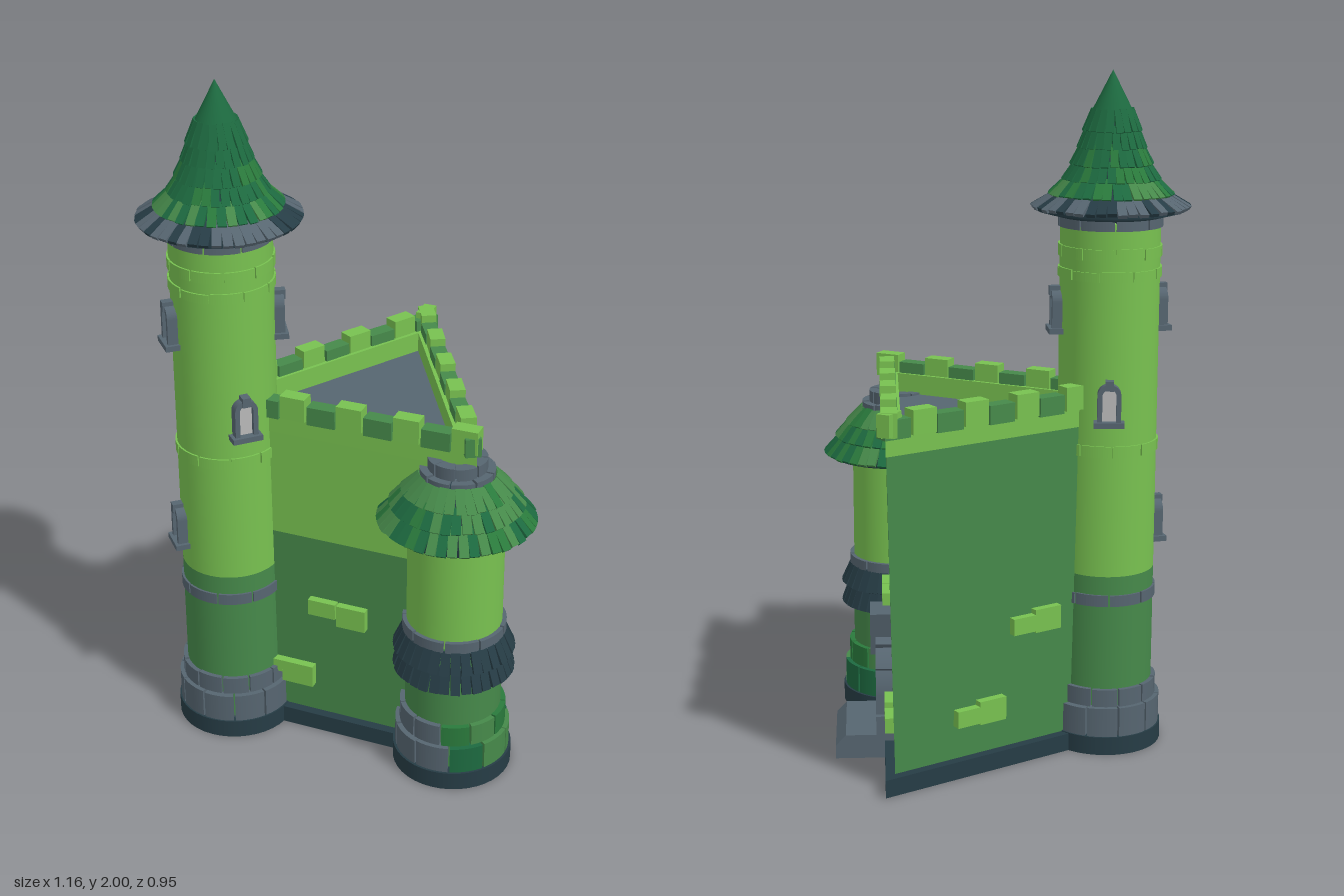
import * as THREE from 'three';
import { mergeGeometries } from 'three/addons/utils/BufferGeometryUtils.js';

const paint = (name, color) => Object.assign(new THREE.MeshStandardMaterial({ color }), { name });

export function createModel() {
  const light = paint('light green', 0x78c150), mid = paint('mid green', 0x46894a);
  const deep = paint('deep green', 0x1d6a40), pine = paint('pine green', 0x2a7a3c);
  const slate = paint('slate grey', 0x566570), dark = paint('dark slate', 0x263c45);
  const pane = paint('window grey', 0xb9b9b9);

  let seed = 7;
  const rnd = () => (seed = (seed * 16807) % 2147483647) / 2147483647;
  const pick = (...list) => list[Math.floor(rnd() * list.length)];

  const group = (name, parent, x = 0, y = 0, z = 0, turn = 0) => {
    const g = new THREE.Group();
    g.name = name;
    g.position.set(x, y, z);
    g.rotation.y = turn;
    if (parent) parent.add(g);
    return g;
  };
  const mesh = (name, parent, geo, mat, x = 0, y = 0, z = 0) => {
    const m = new THREE.Mesh(geo, mat);
    m.name = name;
    m.position.set(x, y, z);
    parent.add(m);
    return m;
  };
  const box = (name, parent, w, h, d, mat, x, y, z) =>
    mesh(name, parent, new THREE.BoxGeometry(w, h, d), mat, x, y, z);
  const drum = (name, parent, rt, rb, y0, y1, mat) =>
    mesh(name, parent, new THREE.CylinderGeometry(rt, rb, y1 - y0, 40), mat, 0, (y0 + y1) / 2, 0);

  // Collects many small pieces into one mesh per colour
  const pieces = (name, parent, list) => {
    const byMat = new Map();
    for (const [geo, mat] of list) {
      if (!byMat.has(mat)) byMat.set(mat, []);
      byMat.get(mat).push(geo.index ? geo.toNonIndexed() : geo);
    }
    for (const [mat, geos] of byMat) mesh(name, parent, mergeGeometries(geos), mat);
  };

  // Ring of curved blocks with narrow joints
  const stoneRing = (name, parent, r0, r1, y0, y1, n, matOf, shift = 0) => {
    const list = [];
    for (let i = 0; i < n; i++) {
      const a = ((i + shift) / n) * Math.PI * 2, b = a + (Math.PI * 2) / n - 0.006 / r1;
      const s = new THREE.Shape();
      s.absarc(0, 0, r1, a, b, false);
      s.absarc(0, 0, r0, b, a, true);
      const g = new THREE.ExtrudeGeometry(s, { depth: y1 - y0 - rnd() * 0.004, bevelEnabled: false, curveSegments: 6 });
      g.rotateX(-Math.PI / 2).translate(0, y0, 0);
      list.push([g, matOf((a + b) / 2)]);
    }
    pieces(name, parent, list);
  };

  // Ring of sloping shingles from (r0, y0) at the eave to (r1, y1)
  const shingles = (name, parent, r0, y0, r1, y1, n, matOf) => {
    const list = [], slope = Math.atan2(y0 - y1, r0 - r1);
    for (let i = 0; i < n; i++) {
      const len = Math.hypot(r0 - r1, y1 - y0) * (0.96 + rnd() * 0.08);
      const g = new THREE.BoxGeometry(((Math.PI * 2 * r0) / n) * 0.84, 0.011, len);
      g.rotateX(-slope).translate(0, (y0 + y1) / 2 + rnd() * 0.003, (r0 + r1) / 2);
      g.rotateY(((i + rnd() * 0.15) / n) * Math.PI * 2);
      list.push([g, matOf()]);
    }
    pieces(name, parent, list);
  };
  const lathe = (name, parent, pts, mat) =>
    mesh(name, parent, new THREE.LatheGeometry(pts.map(p => new THREE.Vector2(...p)), 40), mat);

  // Arch outline used by door and windows
  const arch = (C, w, h) => {
    const s = new C();
    s.moveTo(-w, 0);
    s.lineTo(w, 0);
    s.lineTo(w, h);
    s.absarc(0, h, w, 0, Math.PI, false);
    s.closePath();
    return s;
  };

  const model = group('castle');

  // ---- Triangular keep ----
  const keep = group('keep', model, 0, 0, 0.025);
  const tri = (rt, rb, y0, y1, mats, name) => {
    const g = new THREE.CylinderGeometry(rt, rb, y1 - y0, 3, 1, false, Math.PI).toNonIndexed();
    g.computeVertexNormals();
    g.clearGroups();
    mats.forEach((m, i) => g.addGroup(i * 6, 6, i));
    g.addGroup(18, 18, mats.length - 1);
    return mesh(name, keep, g, mats, 0, (y0 + y1) / 2, 0);
  };
  tri(0.5, 0.5, 0, 0.053, [dark, dark, dark], 'keepPlinth');
  tri(0.468, 0.445, 0.05, 0.66, [mid, mid, mid], 'lowerWalls');
  tri(0.479, 0.468, 0.66, 0.99, [mid, light, mid], 'upperWalls');
  tri(0.48, 0.479, 0.99, 1.0, [slate, slate, slate], 'roofFloor');

  const triangle = (C, r) => new C([0, 1, 2].map(k =>
    new THREE.Vector2(r * Math.sin(Math.PI + k * Math.PI * 2 / 3), -r * Math.cos(Math.PI + k * Math.PI * 2 / 3))));
  const rim = (r0, r1, y0, y1) => {
    const s = triangle(THREE.Shape, r1);
    s.holes.push(triangle(THREE.Path, r0));
    const g = new THREE.ExtrudeGeometry(s, { depth: y1 - y0, bevelEnabled: false });
    mesh('parapet', keep, g.rotateX(-Math.PI / 2).translate(0, y0, 0), light);
  };
  rim(0.395, 0.482, 0.99, 1.06);

  // Loose bricks per wall: [x, y, width, height]
  const bricks = [
    [[-0.047, 0.435, 0.086, 0.05], [0.045, 0.423, 0.09, 0.07], [-0.13, 0.185, 0.1, 0.07], [-0.205, 0.2, 0.05, 0.04]],
    [[-0.147, 0.437, 0.085, 0.045], [-0.06, 0.423, 0.095, 0.07], [0.223, 0.187, 0.085, 0.07], [0.308, 0.183, 0.08, 0.045]],
    [[0.04, 0.425, 0.08, 0.05], [0.12, 0.43, 0.09, 0.07], [-0.15, 0.18, 0.08, 0.05], [-0.07, 0.185, 0.09, 0.07]],
  ];
  const walls = ['frontWall', 'rightWall', 'leftWall'].map((n, k) => group(n, keep, 0, 0, 0, k * Math.PI * 2 / 3));
  walls.forEach((wall, k) => {
    for (const [x, y, w, h] of bricks[k]) box('brick', wall, w, h, 0.03, light, x, y, 0.233 + y * 0.012);
    // Alternating tall and low battlements
    for (let i = 0; i < 10; i++) {
      const x = -0.385 + i * 0.0855, tall = i % 2 === 1;
      const b = box('battlement', wall, tall ? 0.076 : 0.084, tall ? 0.07 : 0.055, 0.045,
        tall ? light : mid, x, tall ? 1.079 : 1.066, tall ? 0.231 : 0.229);
      b.rotation.y = (rnd() - 0.5) * 0.06;
    }
  });
  // Pointed merlon on the back corner
  box('cornerMerlon', keep, 0.04, 0.065, 0.07, light, 0, 1.08, -0.462);

  // ---- Door on the right wall ----
  const door = group('door', walls[1], 0.01, 0, 0);
  mesh('doorPanel', door, new THREE.ExtrudeGeometry(arch(THREE.Shape, 0.1, 0.2), { depth: 0.03, bevelEnabled: false }), dark, 0, 0, 0.215);
  const surround = [];
  for (const s of [-1, 1]) for (const [y, h, w] of [[0.1, 0.066, 0.058], [0.168, 0.062, 0.05]])
    surround.push([new THREE.BoxGeometry(w, h, 0.06).translate(s * (0.087 + w / 2), y, 0.245), slate]);
  for (let i = 0; i < 6; i++) {
    const a = (i / 6) * Math.PI + 0.02, b = ((i + 1) / 6) * Math.PI - 0.02, s = new THREE.Shape();
    s.absarc(0, 0.2, i % 2 ? 0.142 : 0.15, a, b, false);
    s.absarc(0, 0.2, 0.09, b, a, true);
    surround.push([new THREE.ExtrudeGeometry(s, { depth: 0.06, bevelEnabled: false }).translate(0, 0, 0.215), slate]);
  }
  const key = new THREE.Shape([[-0.03, 0.285], [0.03, 0.285], [0.06, 0.42], [-0.06, 0.42]].map(p => new THREE.Vector2(...p)));
  surround.push([new THREE.ExtrudeGeometry(key, { depth: 0.075, bevelEnabled: false }).translate(0, 0, 0.215), slate]);
  pieces('doorSurround', door, surround);
  // Step slab with a sloping front
  const stepSide = new THREE.Shape([[0.2, 0], [0.395, 0], [0.395, 0.04], [0.365, 0.072], [0.2, 0.072]].map(p => new THREE.Vector2(...p)));
  const stepGeo = new THREE.ExtrudeGeometry(stepSide, { depth: 0.27, bevelEnabled: false });
  mesh('doorStep', door, stepGeo.rotateY(-Math.PI / 2).translate(0.135, 0, 0), slate);

  // ---- Tall tower ----
  const tall = group('tallTower', model, -0.35, 0, 0.245);
  drum('towerPlinth', tall, 0.175, 0.175, 0, 0.055, dark);
  stoneRing('baseStones', tall, 0.12, 0.17, 0.055, 0.145, 11, () => slate);
  stoneRing('baseStones', tall, 0.12, 0.158, 0.145, 0.2, 12, () => slate, 0.4);
  drum('lowerShaft', tall, 0.145, 0.145, 0.05, 0.545, mid);
  drum('upperShaft', tall, 0.145, 0.145, 0.545, 1.58, light);
  stoneRing('stoneBand', tall, 0.13, 0.151, 0.455, 0.49, 9, () => slate);
  stoneRing('stoneBand', tall, 0.13, 0.151, 1.56, 1.595, 9, () => slate);
  for (const [y0, y1] of [[0.905, 0.94], [1.415, 1.445], [1.475, 1.51]])
    stoneRing('brickBand', tall, 0.13, 0.15, y0, y1, 10, () => light, y0 * 7);

  lathe('roofCore', tall, [[0.14, 1.585], [0.215, 1.605], [0.145, 1.655], [0.105, 1.72], [0.075, 1.8], [0.05, 1.9], [0, 1.995]], dark);
  shingles('eaveShingles', tall, 0.228, 1.613, 0.145, 1.662, 46, () => pick(slate, slate, dark));
  shingles('roofShingles', tall, 0.178, 1.648, 0.125, 1.698, 38, () => pick(mid, mid, pine, deep));
  shingles('roofShingles', tall, 0.138, 1.69, 0.1, 1.745, 32, () => pick(pine, deep, deep));
  shingles('roofShingles', tall, 0.116, 1.733, 0.083, 1.795, 28, () => pick(pine, deep, deep));
  shingles('roofShingles', tall, 0.095, 1.78, 0.068, 1.845, 24, () => deep);
  shingles('roofShingles', tall, 0.081, 1.828, 0.055, 1.89, 20, () => deep);
  drum('spire', tall, 0, 0.064, 1.875, 2.0, deep);

  // Arched windows: [height, angle in degrees]
  for (const [y, deg] of [[1.25, -47], [1.25, 122], [0.61, -47], [1.0, 46], [1.0, 205]]) {
    const w = group('window', tall, 0, y, 0, deg * Math.PI / 180);
    const s = arch(THREE.Shape, 0.034, 0.08);
    s.holes.push(arch(THREE.Path, 0.02, 0.08));
    mesh('windowFrame', w, new THREE.ExtrudeGeometry(s, { depth: 0.04, bevelEnabled: false }), slate, 0, 0.012, 0.13);
    mesh('windowPane', w, new THREE.ShapeGeometry(arch(THREE.Shape, 0.022, 0.08)), pane, 0, 0.012, 0.156);
    box('windowSill', w, 0.088, 0.016, 0.055, slate, 0, 0.008, 0.152);
    box('windowKeystone', w, 0.024, 0.028, 0.045, slate, 0, 0.122, 0.153);
  }

  // ---- Short tower ----
  const short = group('shortTower', model, 0.35, 0, 0.23);
  const greyCorner = other => a => (a > 3.0 && a < 4.8 ? slate : other());
  drum('towerPlinth', short, 0.175, 0.175, 0, 0.055, dark);
  stoneRing('baseStones', short, 0.12, 0.168, 0.055, 0.138, 10, greyCorner(() => pick(deep, deep, mid)));
  stoneRing('baseStones', short, 0.12, 0.155, 0.138, 0.205, 11, greyCorner(() => pick(mid, mid, pine)), 0.5);
  drum('lowerShaft', short, 0.14, 0.14, 0.05, 0.46, mid);
  drum('upperShaft', short, 0.138, 0.138, 0.46, 0.84, light);
  shingles('skirtShingles', short, 0.172, 0.328, 0.145, 0.4, 34, () => dark);
  shingles('skirtShingles', short, 0.172, 0.392, 0.143, 0.455, 34, () => dark);
  stoneRing('stoneBand', short, 0.12, 0.15, 0.452, 0.488, 9, () => slate);
  lathe('roofCore', short, [[0.13, 0.79], [0.208, 0.806], [0.158, 0.87], [0.125, 0.915], [0.09, 0.965], [0, 0.965]], dark);
  shingles('roofShingles', short, 0.222, 0.812, 0.165, 0.875, 44, () => pick(pine, deep, mid));
  shingles('roofShingles', short, 0.188, 0.862, 0.138, 0.918, 38, () => pick(mid, pine, deep));
  shingles('roofShingles', short, 0.155, 0.905, 0.105, 0.955, 32, () => pick(mid, mid, pine));
  stoneRing('crownStones', short, 0.06, 0.106, 0.935, 0.975, 9, () => slate);
  stoneRing('crownStones', short, 0.05, 0.084, 0.972, 1.01, 8, () => slate, 0.4);
  drum('crownCap', short, 0.07, 0.07, 0.96, 1.0, slate);

  return model;
}
